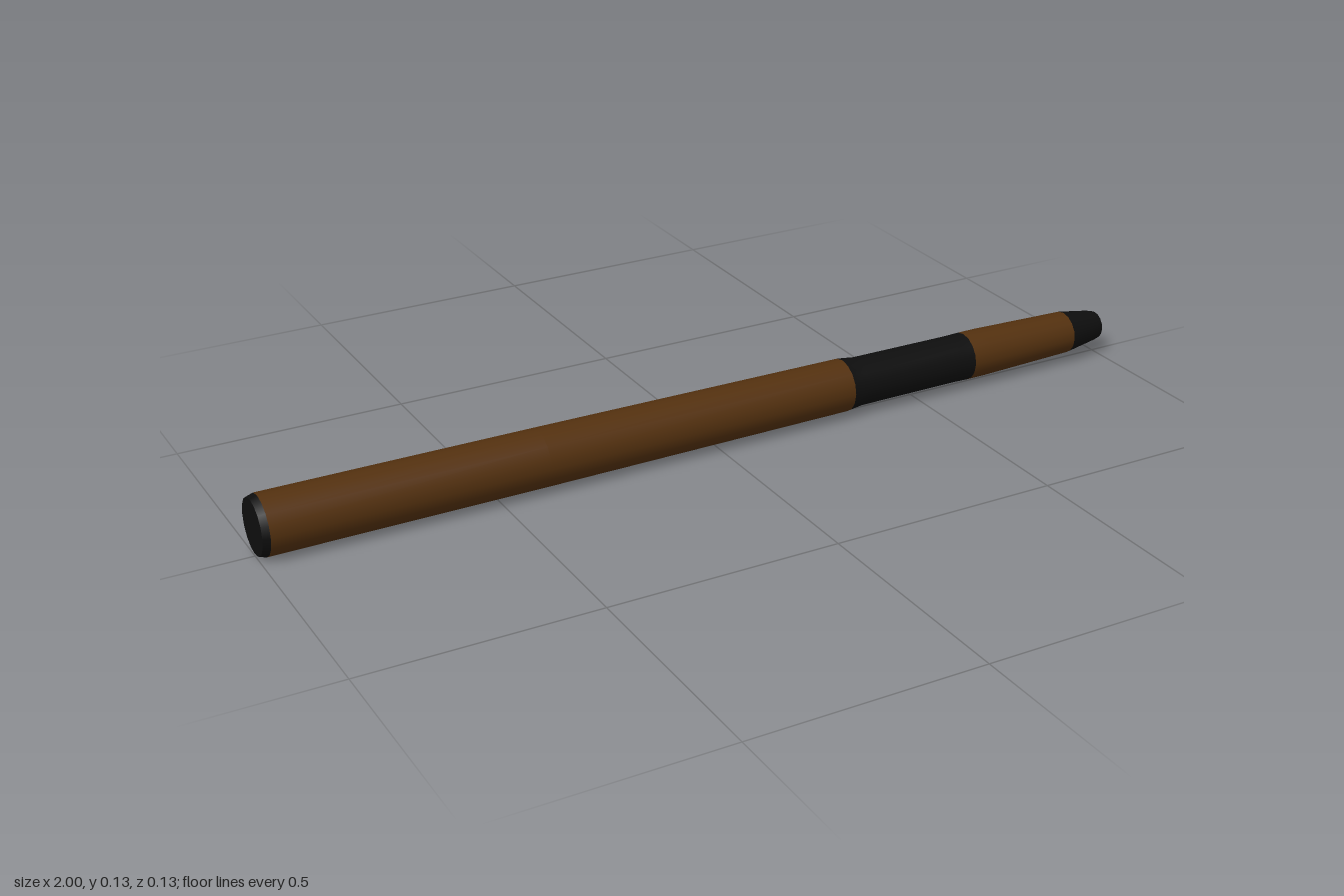
import * as THREE from 'three';

const SIDES = 16;
const AXIS_Y = 0.064;

export function createModel() {
  const model = new THREE.Group();
  model.name = 'pen';

  const brown = new THREE.MeshStandardMaterial({ color: 0x54310f });
  brown.name = 'brown barrel';
  const black = new THREE.MeshStandardMaterial({ color: 0x0e0e0e });
  black.name = 'black trim';

  // Turned section lying along x; profile is a list of [x, radius], left to right
  function turned(name, material, profile) {
    const points = profile.map(([x, r]) => new THREE.Vector2(r, x));
    const mesh = new THREE.Mesh(new THREE.LatheGeometry(points, SIDES), material);
    mesh.name = name;
    mesh.rotation.z = -Math.PI / 2;
    mesh.position.y = AXIS_Y;
    model.add(mesh);
  }

  // Flat disc closing an end; side is +1 for the right end, -1 for the left
  function endDisc(name, material, x, radius, side) {
    const mesh = new THREE.Mesh(new THREE.CircleGeometry(radius, SIDES), material);
    mesh.name = name;
    mesh.rotation.y = side * Math.PI / 2;
    mesh.position.set(x, AXIS_Y, 0);
    model.add(mesh);
  }

  // Blunt rear end
  endDisc('rearDisc', black, -1, 0.059, -1);
  turned('rearRim', black, [[-1, 0.059], [-0.985, 0.0635]]);

  // Long, slightly tapered handle
  turned('handle', brown, [[-0.985, 0.0635], [-0.4, 0.062], [0.32, 0.058]]);

  // Grip, sunk a little below the handle
  turned('grip', black, [[0.32, 0.058], [0.36, 0.053], [0.6, 0.052], [0.635, 0.053]]);

  // Front collar narrowing to the tip
  turned('frontCollar', brown, [[0.635, 0.053], [0.68, 0.053], [0.91, 0.047]]);

  // Conical tip with a flat nose
  turned('tip', black, [[0.91, 0.047], [0.985, 0.035], [1, 0.031]]);
  endDisc('tipNose', black, 1, 0.031, 1);

  return model;
}
